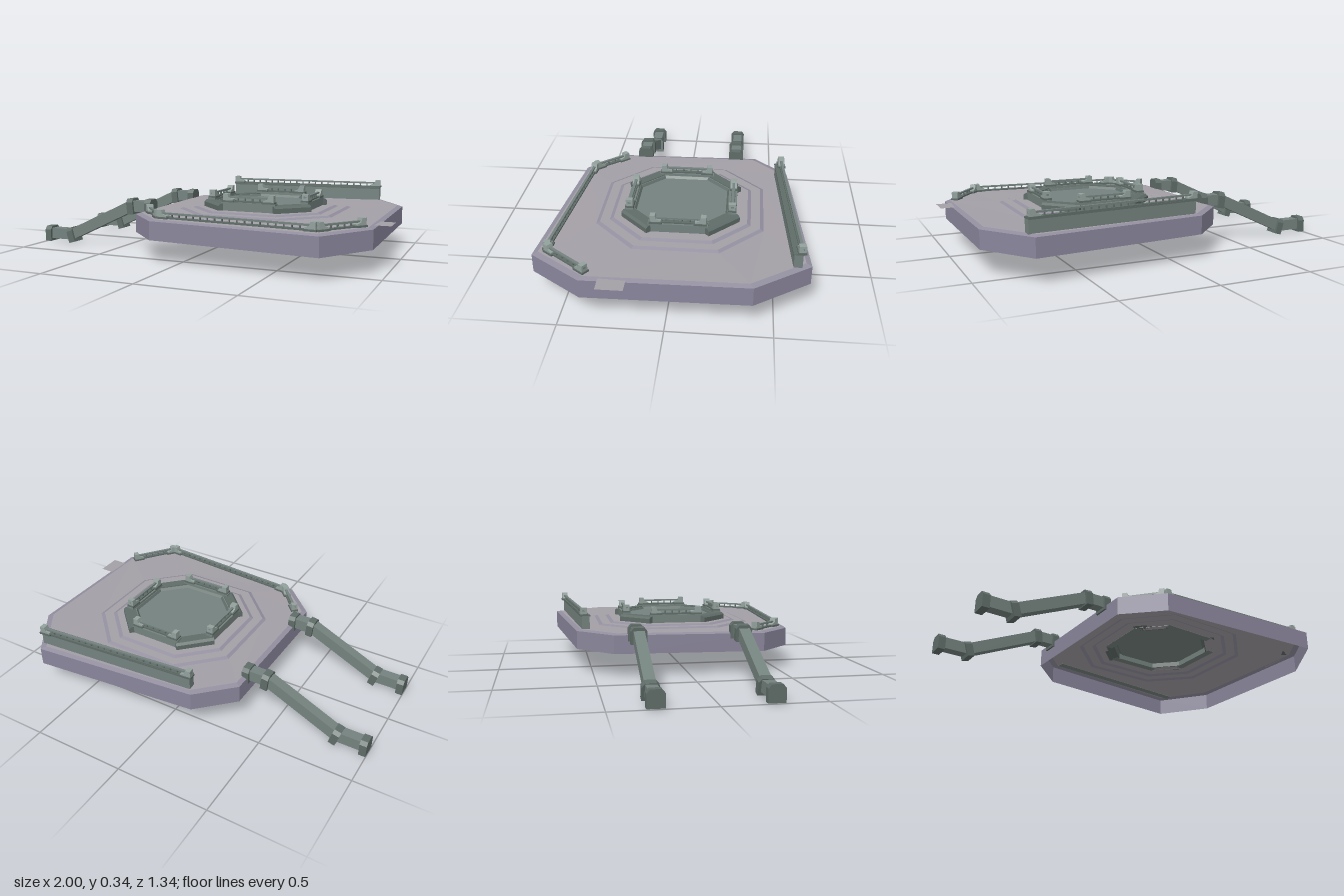
import * as THREE from 'three';

const paint = (color) => new THREE.MeshStandardMaterial({ color, flatShading: true, side: THREE.DoubleSide });
const deckMat = paint(0xa39fa6), wallMat = paint(0x8a869c), grooveMat = paint(0x928e9e);
const greenMat = paint(0x74827e), trimMat = paint(0x5f6c68), paleMat = paint(0x93a19d);

const CX = 0.255, CZ = -0.02;
const outline = [[-0.33, -0.4], [-0.15, -0.58], [0.75, -0.67], [0.935, -0.4],
  [0.935, 0.4], [0.75, 0.665], [-0.15, 0.58], [-0.33, 0.4]];

function add(parent, name, geometry, material, x = 0, y = 0, z = 0) {
  const mesh = new THREE.Mesh(geometry, material);
  mesh.name = name;
  mesh.position.set(x, y, z);
  parent.add(mesh);
  return mesh;
}
const box = (parent, name, mat, w, h, d, x, y, z) =>
  add(parent, name, new THREE.BoxGeometry(w, h, d), mat, x, y, z);

// Eight-sided loops; the platform leans very slightly from back to front
const edgeLoop = (scale, y) => outline.map(([x, z]) =>
  [0.3 + (x - 0.3) * scale, y - 0.011 * z * scale, z * scale]);
const octLoop = (h, y) => {
  const f = h / 2;
  return [[-h, -f], [-f, -h], [f, -h], [h, -f], [h, f], [f, h], [-f, h], [-h, f]]
    .map(([x, z]) => [CX + x, y, CZ + z]);
};

// Band of faces between two loops, lower or outer loop first
function band(parent, name, a, b, mat) {
  const v = [];
  a.forEach((p, i) => {
    const j = (i + 1) % a.length;
    v.push(...p, ...b[i], ...a[j], ...b[i], ...b[j], ...a[j]);
  });
  const g = new THREE.BufferGeometry();
  g.setAttribute('position', new THREE.Float32BufferAttribute(v, 3));
  g.computeVertexNormals();
  add(parent, name, g, mat);
}

function extrude(points, depth) {
  const shape = new THREE.Shape(points.map(([x, y]) => new THREE.Vector2(x, y)));
  const g = new THREE.ExtrudeGeometry(shape, { depth, bevelEnabled: false });
  return g.translate(0, 0, -depth / 2);
}

// Group whose local x axis runs from a to b on the ground plan
function along(parent, name, a, b, y) {
  const g = new THREE.Group();
  g.name = name;
  g.position.set((a[0] + b[0]) / 2, y, (a[1] + b[1]) / 2);
  g.rotation.y = Math.atan2(a[1] - b[1], b[0] - a[0]);
  parent.add(g);
  return Math.hypot(b[0] - a[0], b[1] - a[1]) && g;
}

// Low guard rail with bars, balusters and a wedge block at each end
const postGeo = extrude([[0, 0], [-0.055, 0], [-0.055, 0.015], [-0.032, 0.024], [-0.026, 0.043], [0, 0.043]], 0.034);
function rail(parent, name, a, b, y) {
  const g = along(parent, name, a, b, y);
  const len = Math.hypot(b[0] - a[0], b[1] - a[1]);
  box(g, 'lowerBar', trimMat, len, 0.008, 0.022, 0, 0.004, 0);
  box(g, 'upperBar', greenMat, len, 0.009, 0.014, 0, 0.026, 0);
  const n = Math.max(3, Math.round(len / 0.04));
  for (let i = 1; i < n; i++)
    box(g, 'baluster', trimMat, 0.006, 0.02, 0.008, -len / 2 + (len * i) / n, 0.014, 0);
  for (const s of [-1, 1]) {
    const post = add(g, 'endPost', postGeo, paleMat, (s * len) / 2, 0, 0);
    if (s < 0) post.rotation.y = Math.PI;
    box(g, 'postFoot', trimMat, 0.066, 0.01, 0.042, s * (len / 2 - 0.028), 0.004, 0);
  }
}

function buildPlatform(root) {
  const g = new THREE.Group();
  g.name = 'platform';
  root.add(g);
  band(g, 'outerWall', edgeLoop(1, 0.117), edgeLoop(1, 0.214), wallMat);
  band(g, 'bevelledEdge', edgeLoop(1, 0.214), edgeLoop(0.96, 0.221), grooveMat);
  // Stepped rings rising to the centre
  band(g, 'deck', edgeLoop(0.96, 0.221), octLoop(0.425, 0.222), deckMat);
  band(g, 'outerStep', octLoop(0.425, 0.222), octLoop(0.407, 0.229), grooveMat);
  band(g, 'middleDeck', octLoop(0.407, 0.229), octLoop(0.36, 0.229), deckMat);
  band(g, 'innerStep', octLoop(0.36, 0.229), octLoop(0.342, 0.236), grooveMat);
  band(g, 'innerDeck', octLoop(0.342, 0.236), octLoop(0.25, 0.236), deckMat);
  // Thin tab on the left edge
  const tab = new THREE.PlaneGeometry(0.09, 0.13).rotateX(-Math.PI / 2);
  add(g, 'edgeTab', tab, deckMat, 0.955, 0.215, 0.245);
}

function buildPad(root) {
  const g = new THREE.Group();
  g.name = 'centrePad';
  root.add(g);
  band(g, 'padWall', octLoop(0.285, 0.234), octLoop(0.28, 0.26), trimMat);
  band(g, 'padBevel', octLoop(0.28, 0.26), octLoop(0.268, 0.268), greenMat);
  band(g, 'padRim', octLoop(0.268, 0.268), octLoop(0.24, 0.268), greenMat);
  band(g, 'padInnerStep', octLoop(0.24, 0.268), octLoop(0.23, 0.256), trimMat);
  band(g, 'padFloor', octLoop(0.23, 0.256), octLoop(0, 0.256), greenMat);

  // Each side carries a plinth with a rail, each corner a bevelled slab
  const slab = extrude([[-0.03, 0], [0.035, 0], [0.035, 0.025], [0.022, 0.036], [-0.03, 0.036]], 0.21);
  for (let i = 0; i < 4; i++) {
    const side = new THREE.Group();
    side.name = 'padSide';
    side.position.set(CX, 0, CZ);
    side.rotation.y = (i * Math.PI) / 2;
    g.add(side);
    box(side, 'railPlinth', greenMat, 0.042, 0.046, 0.3, 0.264, 0.258, 0);
    rail(side, 'padRail', [0.264, -0.14], [0.264, 0.14], 0.281);
    const corner = add(side, 'cornerSlab', slab, trimMat, 0.205, 0.236, 0.205);
    corner.rotation.y = -Math.PI / 4;
  }
}

function buildRails(root) {
  const path = [[-0.27, 0.36], [-0.125, 0.525], [0.72, 0.598], [0.885, 0.375]];
  for (let i = 0; i < 3; i++) rail(root, 'frontRail', path[i], path[i + 1], 0.218);
  // Back rail on a raised plinth
  const a = [-0.13, -0.53], b = [0.77, -0.602];
  const base = along(root, 'backPlinth', a, b, 0.26);
  box(base, 'plinthBlock', greenMat, 0.9, 0.072, 0.042, 0, 0, 0);
  box(base, 'plinthCap', trimMat, 0.9, 0.008, 0.05, 0, 0.036, 0);
  rail(root, 'backRail', [-0.135, -0.54], [0.765, -0.618], 0.298);
}

// Bent arms with chamfered collars at every joint
function buildArm(root, z) {
  const g = new THREE.Group();
  g.name = 'sideArm';
  g.position.z = z;
  root.add(g);
  const path = [[-0.98, 0.045], [-0.83, 0.045], [-0.43, 0.232], [-0.31, 0.232]];
  for (let i = 0; i < 3; i++) {
    const [x0, y0] = path[i], [x1, y1] = path[i + 1];
    const beam = box(g, 'armBeam', greenMat, Math.hypot(x1 - x0, y1 - y0), 0.06, 0.056,
      (x0 + x1) / 2, (y0 + y1) / 2, 0);
    beam.rotation.z = Math.atan2(y1 - y0, x1 - x0);
  }
  const collar = extrude([[-0.042, -0.045], [0.042, -0.045], [0.042, 0.022],
    [0.026, 0.041], [-0.026, 0.041], [-0.042, 0.022]], 0.038).rotateY(Math.PI / 2);
  path.forEach(([x, y], i) => {
    const c = add(g, 'armCollar', collar, trimMat, i === 0 ? -0.981 : i === 3 ? -0.32 : x, y, 0);
    c.rotation.z = i === 1 ? 0.28 : i === 2 ? 0.1 : 0;
  });
}

export function createModel() {
  const root = new THREE.Group();
  root.name = 'landingPlatform';
  buildPlatform(root);
  buildPad(root);
  buildRails(root);
  for (const z of [-0.285, 0.255]) buildArm(root, z);
  return root;
}
